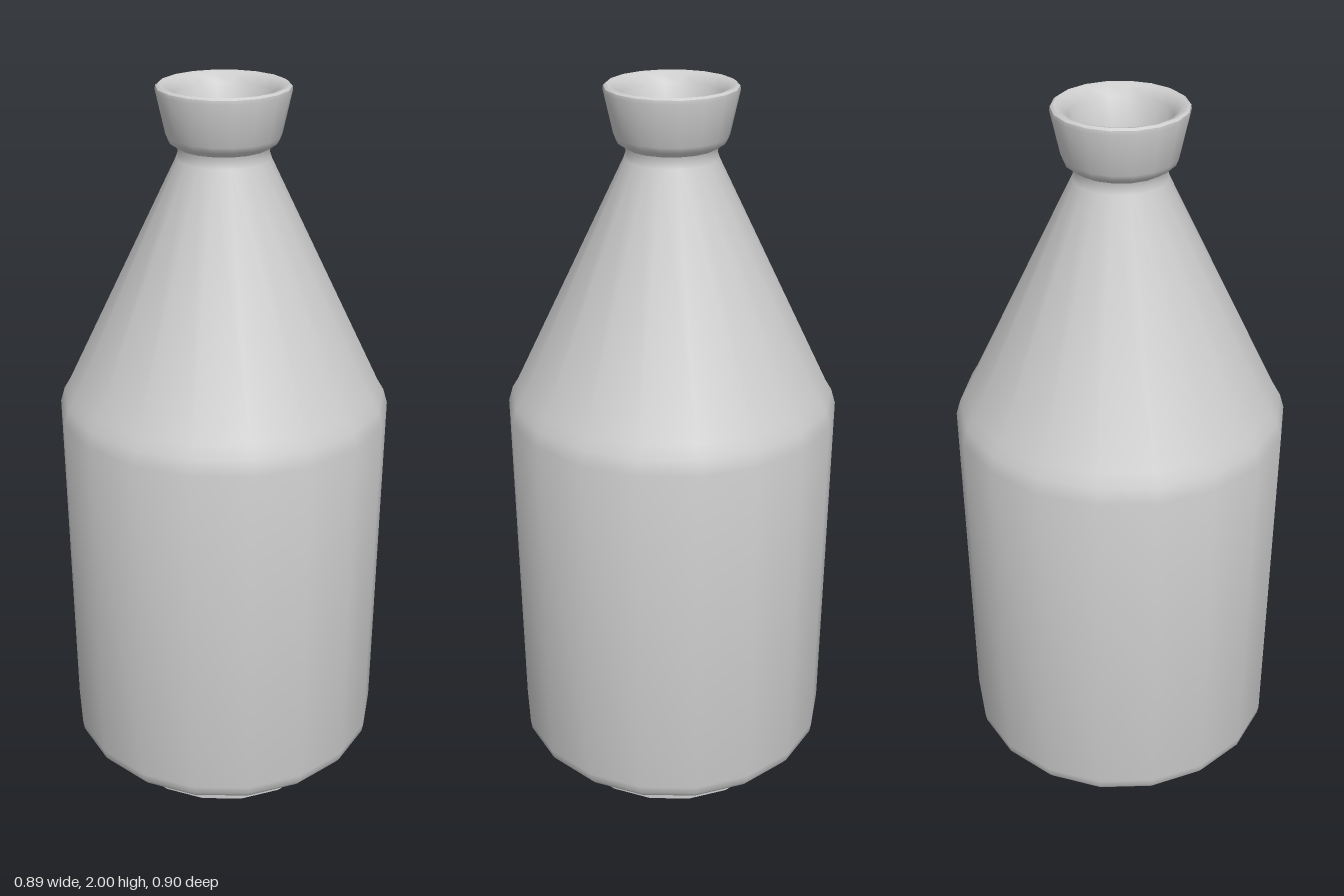
import * as THREE from 'three';
import { toCreasedNormals } from 'three/addons/utils/BufferGeometryUtils.js';

const SIDES = 18;

export function createModel() {
  const group = new THREE.Group();
  group.name = 'bottle';
  const grey = new THREE.MeshStandardMaterial({ color: 0xcccccc });
  grey.name = 'plain grey';

  // Turned part from [radius, height] pairs
  const turn = (name, profile) => {
    const points = profile.map(([r, y]) => new THREE.Vector2(r, y));
    const geometry = toCreasedNormals(new THREE.LatheGeometry(points, SIDES), 0.75);
    const mesh = new THREE.Mesh(geometry, grey);
    mesh.name = name;
    group.add(mesh);
  };

  // Foot, chamfered body, conical shoulder, flared lip and shallow mouth
  turn('bottleShell', [
    [0, 0], [0.328, 0], [0.328, 0.04],
    [0.425, 0.095], [0.441, 0.115], [0.445, 0.14],
    [0.45, 1.13], [0.438, 1.17], [0.42, 1.2],
    [0.122, 1.815], [0.117, 1.83], [0.12, 1.845], [0.142, 1.86],
    [0.148, 1.875], [0.172, 1.985], [0.171, 1.995], [0.164, 2],
    [0.152, 1.997], [0.128, 1.975],
    [0.108, 1.85], [0, 1.85],
  ]);

  return group;
}
